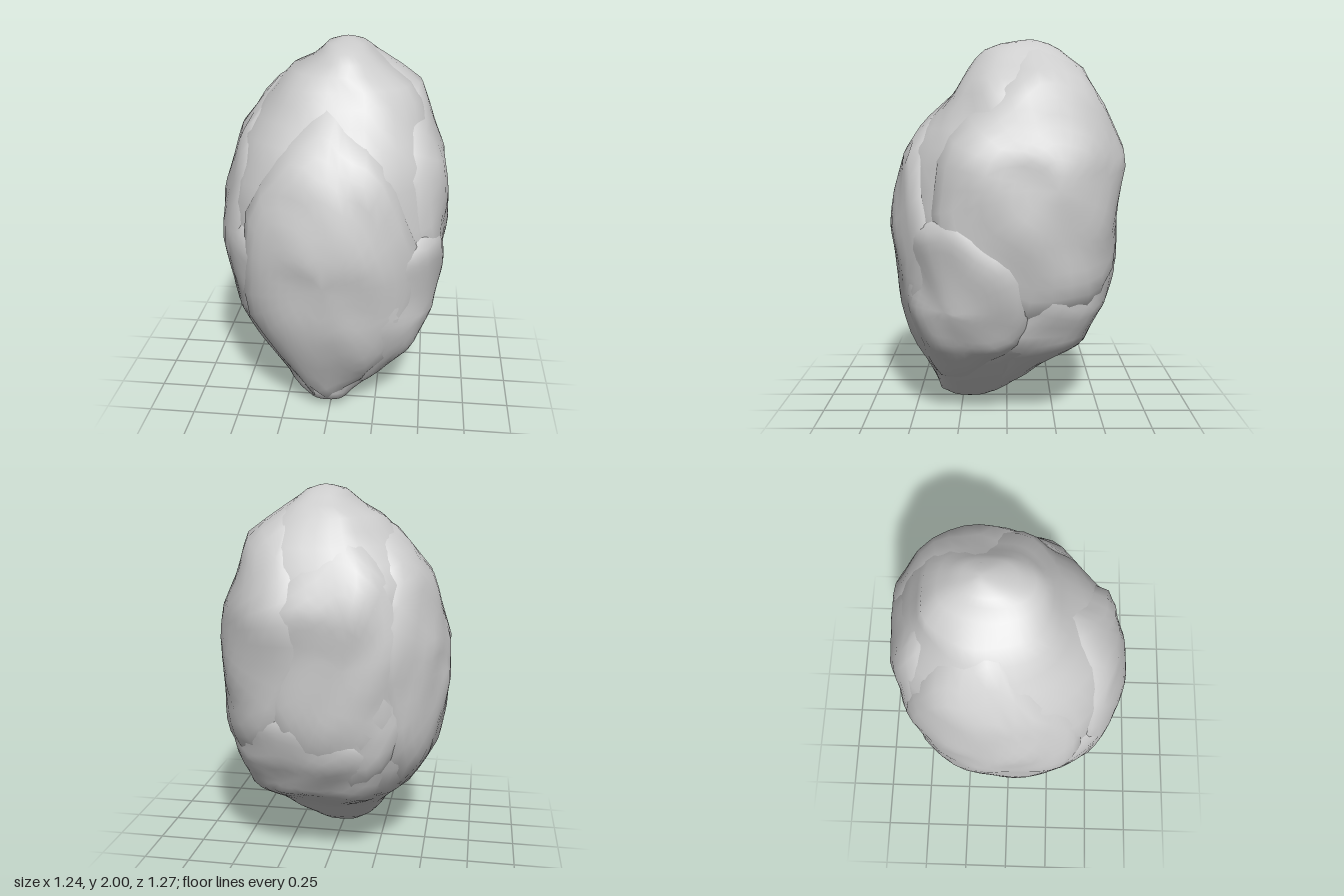
import * as THREE from 'three';
import { mergeVertices } from 'three/addons/utils/BufferGeometryUtils.js';

// Silhouette of the lump: y, x min, x max, z min, z max
const SECTIONS = [
  [0.00, 0.00, 0.00, 0.21, 0.21],
  [0.015, -0.07, 0.07, 0.13, 0.30],
  [0.05, -0.14, 0.12, 0.04, 0.39],
  [0.12, -0.24, 0.20, -0.08, 0.42],
  [0.22, -0.31, 0.32, -0.18, 0.45],
  [0.40, -0.45, 0.49, -0.45, 0.53],
  [0.60, -0.57, 0.57, -0.56, 0.59],
  [0.80, -0.61, 0.60, -0.61, 0.62],
  [1.00, -0.63, 0.62, -0.62, 0.64],
  [1.20, -0.62, 0.61, -0.62, 0.61],
  [1.40, -0.56, 0.59, -0.64, 0.57],
  [1.55, -0.52, 0.53, -0.59, 0.47],
  [1.68, -0.43, 0.49, -0.53, 0.36],
  [1.76, -0.37, 0.46, -0.48, 0.31],
  [1.85, -0.28, 0.33, -0.44, 0.24],
  [1.90, -0.16, 0.26, -0.36, 0.19],
  [1.95, -0.09, 0.19, -0.29, 0.13],
  [1.985, -0.05, 0.14, -0.21, 0.02],
  [2.00, 0.05, 0.05, -0.13, -0.13],
];

function sectionAt(y) {
  const yy = THREE.MathUtils.clamp(y, 0, 2);
  let i = 0;
  while (i < SECTIONS.length - 2 && SECTIONS[i + 1][0] < yy) i++;
  const a = SECTIONS[i], b = SECTIONS[i + 1];
  const t = (yy - a[0]) / (b[0] - a[0]);
  return a.map((v, k) => THREE.MathUtils.lerp(v, b[k], t));
}

// Soft, repeatable bumps
function bumps(x, y, z, seed) {
  return 0.5 * Math.sin(9 * x + 4 * y + seed) * Math.sin(7 * y - 5 * z + 2 * seed)
    + 0.35 * Math.sin(13 * z + 6 * x - seed) * Math.cos(11 * y + 3 * x)
    + 0.25 * Math.sin(17 * x - 15 * z + 12 * y + 3 * seed);
}

// Point on the lump at angle theta (0 = front, +90 degrees = left, +x) and height y
function surfacePoint(theta, y, offset, seed) {
  const [yy, x0, x1, z0, z1] = sectionAt(y);
  const s = Math.sin(theta), c = Math.cos(theta);
  // squarer towards the back left corner and near the foot
  const n = 2.15 + 0.7 * Math.max(0, Math.cos(theta - Math.PI * 0.75))
    + 0.5 * (1 - THREE.MathUtils.smoothstep(yy, 0.2, 1.0));
  const k = Math.pow(Math.pow(Math.abs(s), n) + Math.pow(Math.abs(c), n), -1 / n);
  const rx = (x1 - x0) / 2, rz = (z1 - z0) / 2;
  const ux = s * k, uz = c * k;
  const x = (x0 + x1) / 2 + ux * rx, z = (z0 + z1) / 2 + uz * rz;
  const fade = Math.min(1, Math.min(rx, rz) / 0.35);
  const d = fade * (offset + 0.017 * bumps(x, yy, z, seed));
  return new THREE.Vector3(x + ux * d, yy, z + uz * d);
}

// Inner body: a sphere mapped onto the silhouette
function coreGeometry() {
  const g = new THREE.SphereGeometry(1, 36, 28);
  const p = g.attributes.position;
  const v = new THREE.Vector3();
  for (let i = 0; i < p.count; i++) {
    v.fromBufferAttribute(p, i);
    const q = surfacePoint(Math.atan2(v.x, v.z), 1 + v.y, -0.035, 0);
    p.setXYZ(i, q.x, q.y, q.z);
  }
  g.deleteAttribute('uv');
  g.deleteAttribute('normal');
  const m = mergeVertices(g, 1e-4);
  m.computeVertexNormals();
  return m;
}

// Overlapping scale: a ragged disc wrapped on the body, its rim tucked under the surface
function scaleGeometry({ at, y, half, tall, taper, lift, seed }) {
  const rings = 10, segs = 32, pos = [], idx = [];
  for (let i = 0; i <= rings; i++) {
    const r = i / rings;
    for (let j = 0; j < segs; j++) {
      const a = (j / segs) * Math.PI * 2;
      const ragged = 1 + 0.04 * Math.sin(3 * a + seed) + 0.035 * Math.sin(7 * a + 2 * seed);
      const v = r * Math.sin(a) * ragged;
      const u = r * Math.cos(a) * ragged * (1 - taper * v);
      const offset = lift - (lift + 0.075) * Math.pow(r, 9);
      const theta = THREE.MathUtils.degToRad(at + u * half);
      pos.push(...surfacePoint(theta, y + v * tall, offset, seed * 0.25).toArray());
      if (i < rings) {
        const k = (j + 1) % segs;
        const p = i * segs + j, q = i * segs + k;
        idx.push(p, p + segs, q + segs, p, q + segs, q);
      }
    }
  }
  const g = new THREE.BufferGeometry();
  g.setAttribute('position', new THREE.Float32BufferAttribute(pos, 3));
  g.setIndex(idx);
  const m = mergeVertices(g, 1e-5);
  m.computeVertexNormals();
  return m;
}

// Scales by direction in degrees, height, half angle and half height
const SCALES = [
  { name: 'frontScale', at: 0, y: 0.88, half: 56, tall: 0.9, taper: 0.3, lift: 0, seed: 1 },
  { name: 'lowerLeftScale', at: 60, y: 0.62, half: 46, tall: 0.5, taper: 0, lift: -0.003, seed: 2 },
  { name: 'upperLeftScale', at: 112, y: 1.24, half: 68, tall: 0.72, taper: -0.15, lift: -0.008, seed: 4 },
  { name: 'backScale', at: 190, y: 1.12, half: 46, tall: 0.74, taper: 0, lift: -0.022, seed: 5 },
  { name: 'rightScale', at: -100, y: 1.06, half: 56, tall: 0.84, taper: 0.05, lift: -0.008, seed: 6 },
  { name: 'lowerRightScale', at: -48, y: 0.66, half: 40, tall: 0.52, taper: 0, lift: -0.018, seed: 7 },
  { name: 'lowerBackScale', at: 158, y: 0.48, half: 66, tall: 0.42, taper: 0, lift: -0.02, seed: 8 },
];

export function createModel() {
  const group = new THREE.Group();
  group.name = 'scalyLump';
  const material = new THREE.MeshStandardMaterial({ color: 0xcccccc, side: THREE.DoubleSide });
  const add = (name, geometry) => {
    const mesh = new THREE.Mesh(geometry, material);
    mesh.name = name;
    group.add(mesh);
  };
  add('core', coreGeometry());
  SCALES.forEach((s) => add(s.name, scaleGeometry(s)));
  return group;
}
